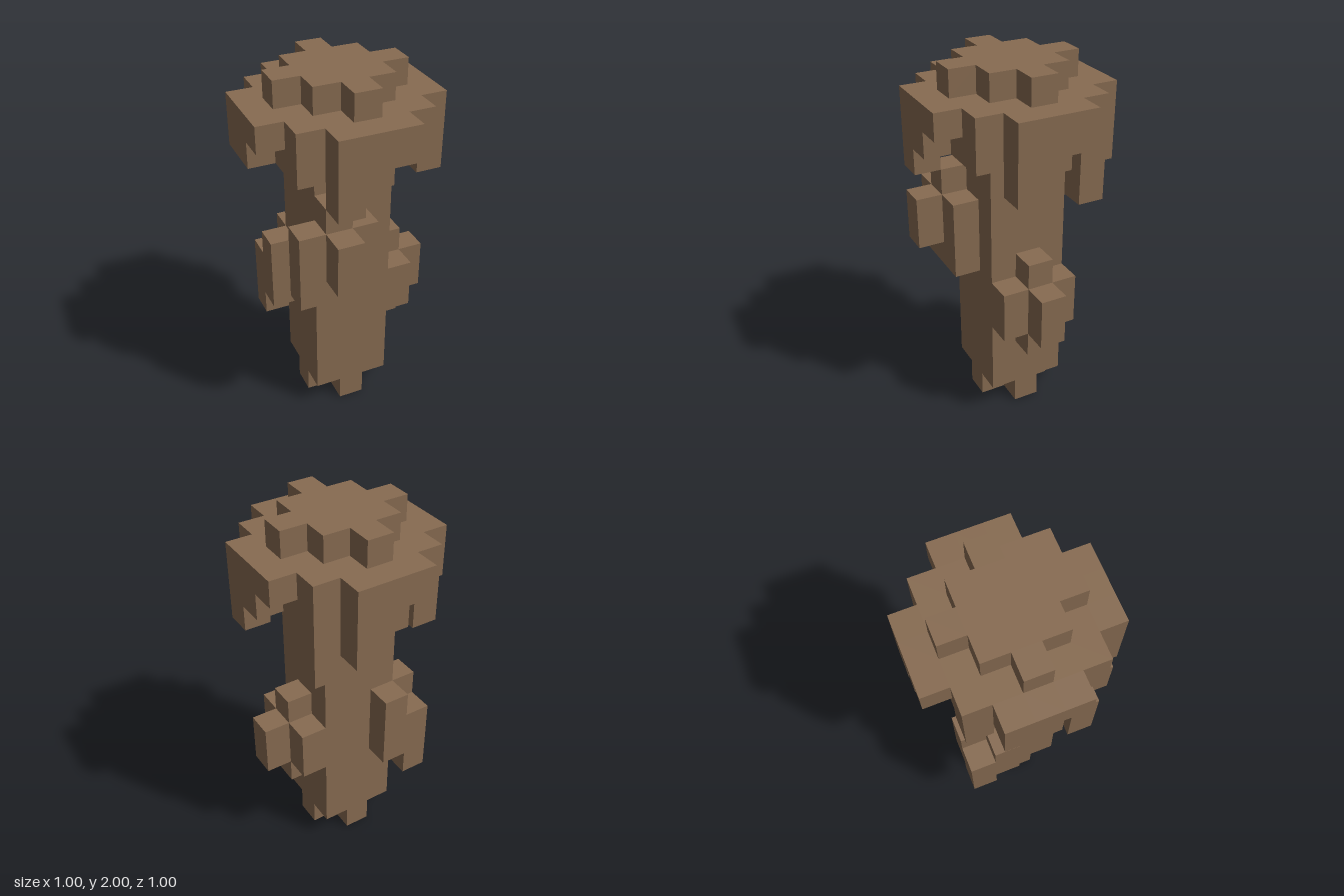
import * as THREE from 'three';

const U = 1 / 7; // edge of one block

export function createModel() {
  const bark = new THREE.MeshStandardMaterial({ color: 0x876b51 });
  bark.name = 'brown';
  const model = new THREE.Group();
  model.name = 'blockyTrunk';

  // A named part made of boxes, each given by inclusive block ranges [x0, x1, y0, y1, z0, z1]
  function part(name, boxes) {
    const group = new THREE.Group();
    group.name = name;
    for (const [x0, x1, y0, y1, z0, z1] of boxes) {
      const geo = new THREE.BoxGeometry((x1 - x0 + 1) * U, (y1 - y0 + 1) * U, (z1 - z0 + 1) * U);
      geo.translate((x0 + x1) / 2 * U, (y0 + y1 + 1) / 2 * U, (z0 + z1) / 2 * U);
      const mesh = new THREE.Mesh(geo, bark);
      mesh.name = name + 'Block';
      group.add(mesh);
    }
    model.add(group);
  }

  // A single column of blocks
  const col = (x, z, y0, y1) => [x, x, y0, y1, z, z];

  // Main stem, with a cross-shaped foot
  part('trunk', [[-1, 1, 1, 10, -1, 1]]);
  part('foot', [[-1, 1, 0, 0, 0, 0], col(0, 1, 0, 0), col(0, -1, 0, 0)]);

  // Wide cap and the small crown on top of it
  part('cap', [[-2, 2, 11, 12, -2, 2]]);
  part('crown', [
    [-1, 1, 13, 13, -1, 1],
    col(2, 0, 13, 13), col(-2, 0, 13, 13), col(0, 2, 13, 13), col(0, -2, 13, 13),
  ]);

  // Stepped rim: lowest block of the three columns on each side of the cap
  part('frontRim', [10, 11, 12].map((y, i) => col(i - 1, 3, y, 12)));
  part('leftRim', [10, 11, 12].map((y, i) => col(3, 1 - i, y, 12)));
  part('backRim', [10, 11, 12].map((y, i) => col(1 - i, -3, y, 12)));
  part('rightRim', [11, 11, 12].map((y, i) => col(-3, i - 1, y, 12)));

  // Drips hanging under the back corners of the cap
  part('hangingCorner', [col(2, -2, 9, 10), col(-2, -2, 10, 10)]);

  // Knots growing from the stem
  part('frontKnot', [col(-2, 2, 6, 8), col(-1, 2, 6, 9), col(0, 2, 6, 8), col(-1, 3, 7, 8)]);
  part('leftKnot', [col(2, 0, 3, 6), col(2, 1, 4, 5), col(2, -1, 4, 5), col(3, 0, 4, 5)]);
  part('backKnot', [col(-1, -2, 4, 6), col(-2, -1, 4, 6), col(-2, -2, 3, 5)]);

  return model;
}
